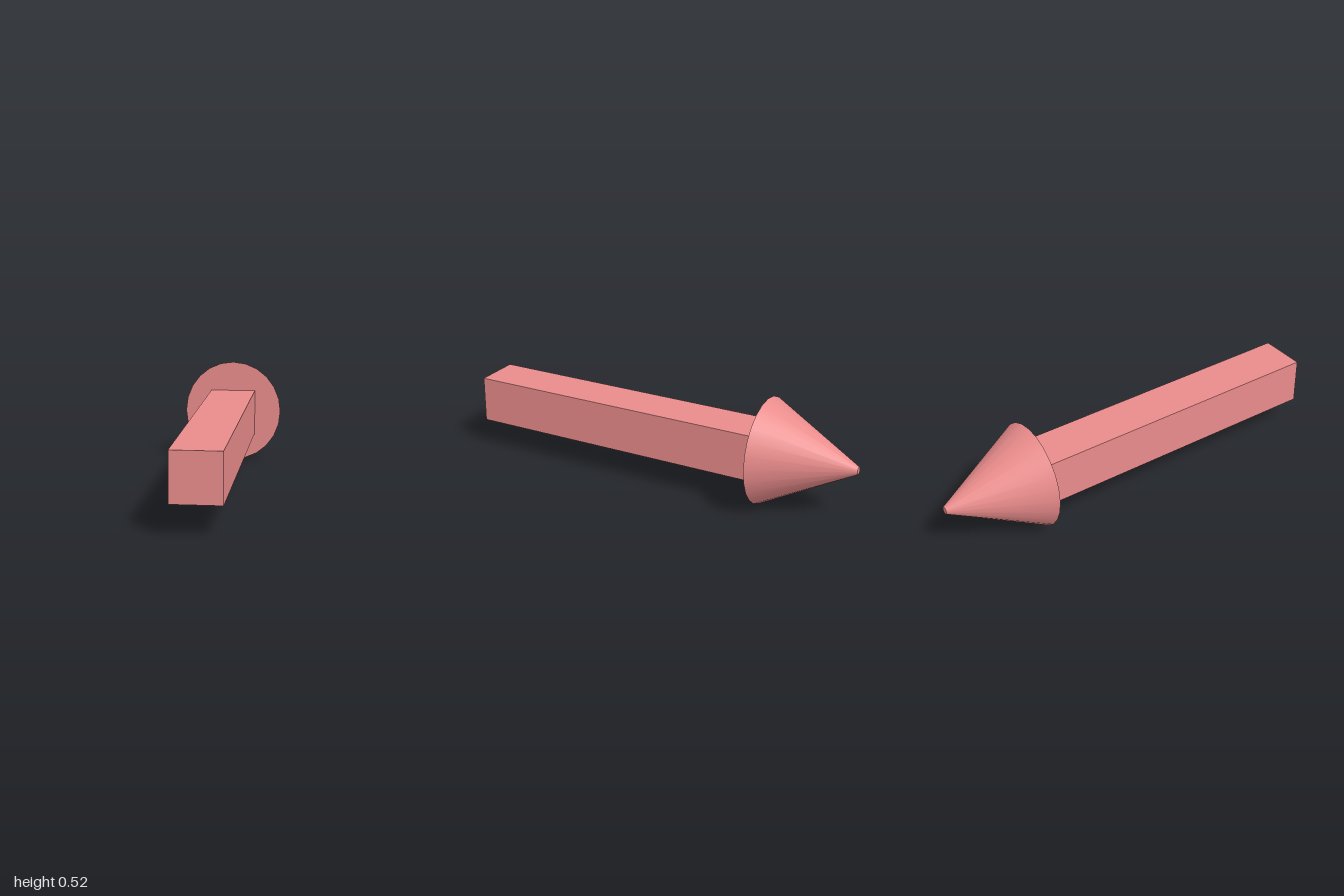
import * as THREE from 'three';

export function createModel() {
  const model = new THREE.Group();
  model.name = 'arrow';
  const material = new THREE.MeshStandardMaterial({ color: 0xe98b8b });

  // Square shaft, running from the front face to the base of the head
  const shaft = new THREE.Mesh(new THREE.BoxGeometry(0.23, 0.23, 1.54), material);
  shaft.name = 'shaft';
  shaft.position.set(0, 0.255, 0.23);
  model.add(shaft);

  // Blunt-tipped conical head pointing to -z, slightly taller than wide
  const headGeometry = new THREE.CylinderGeometry(0.018, 0.2605, 0.46, 24);
  headGeometry.rotateX(-Math.PI / 2);
  headGeometry.scale(0.25 / 0.2605, 1, 1);
  const head = new THREE.Mesh(headGeometry, material);
  head.name = 'arrowHead';
  head.position.set(0, 0.2605, -0.77);
  model.add(head);

  return model;
}
